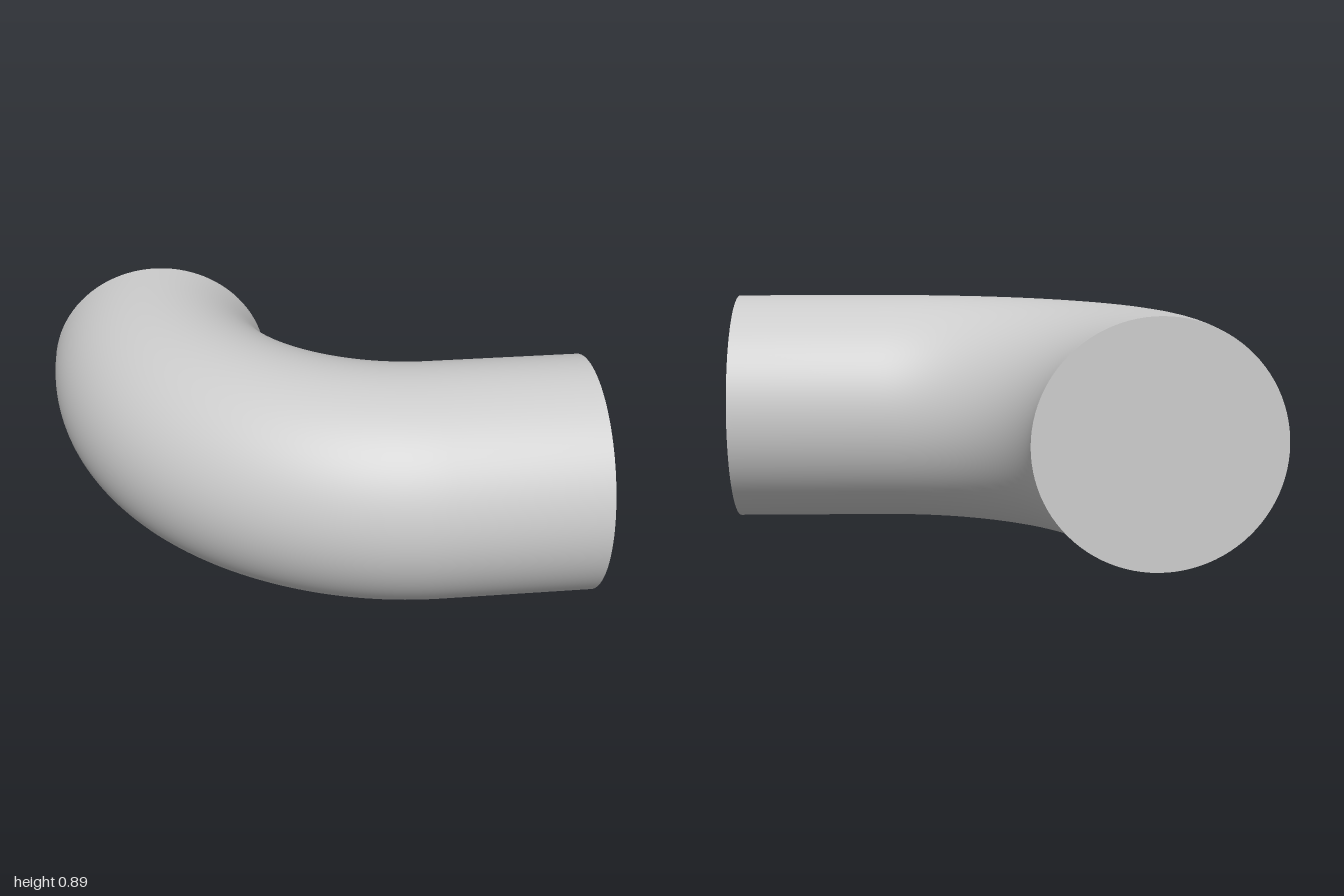
import * as THREE from 'three';

const RADIUS = 0.443;              // pipe radius
const BEND = 0.987;                // bend radius of the centre line
const CX = 0.43, CZ = -0.697;      // bend centre
const BACK_Z = -0.735, END_X = 1;  // open ends

// Centre line: short straight, quarter bend, longer straight
class ElbowPath extends THREE.Curve {
  getPoint(t, target = new THREE.Vector3()) {
    const inlet = CZ - BACK_Z, arc = BEND * Math.PI / 2, outlet = END_X - CX;
    const s = t * (inlet + arc + outlet);
    if (s < inlet) return target.set(CX - BEND, RADIUS, BACK_Z + s);
    if (s > inlet + arc) return target.set(CX + s - inlet - arc, RADIUS, CZ + BEND);
    const a = (s - inlet) / BEND;
    return target.set(CX - BEND * Math.cos(a), RADIUS, CZ + BEND * Math.sin(a));
  }
}

export function createModel() {
  const group = new THREE.Group();
  group.name = 'pipeElbow';
  const material = new THREE.MeshStandardMaterial({ color: 0xcccccc });

  // Curved pipe body
  const body = new THREE.Mesh(new THREE.TubeGeometry(new ElbowPath(), 96, RADIUS, 96), material);
  body.name = 'elbowBody';
  group.add(body);

  // Flat discs closing both ends
  const addCap = (name, x, z, turn) => {
    const cap = new THREE.Mesh(new THREE.CircleGeometry(RADIUS, 96), material);
    cap.name = name;
    cap.position.set(x, RADIUS, z);
    cap.rotation.y = turn;
    group.add(cap);
  };
  addCap('backCap', CX - BEND, BACK_Z, Math.PI);
  addCap('sideCap', END_X, CZ + BEND, Math.PI / 2);

  return group;
}
